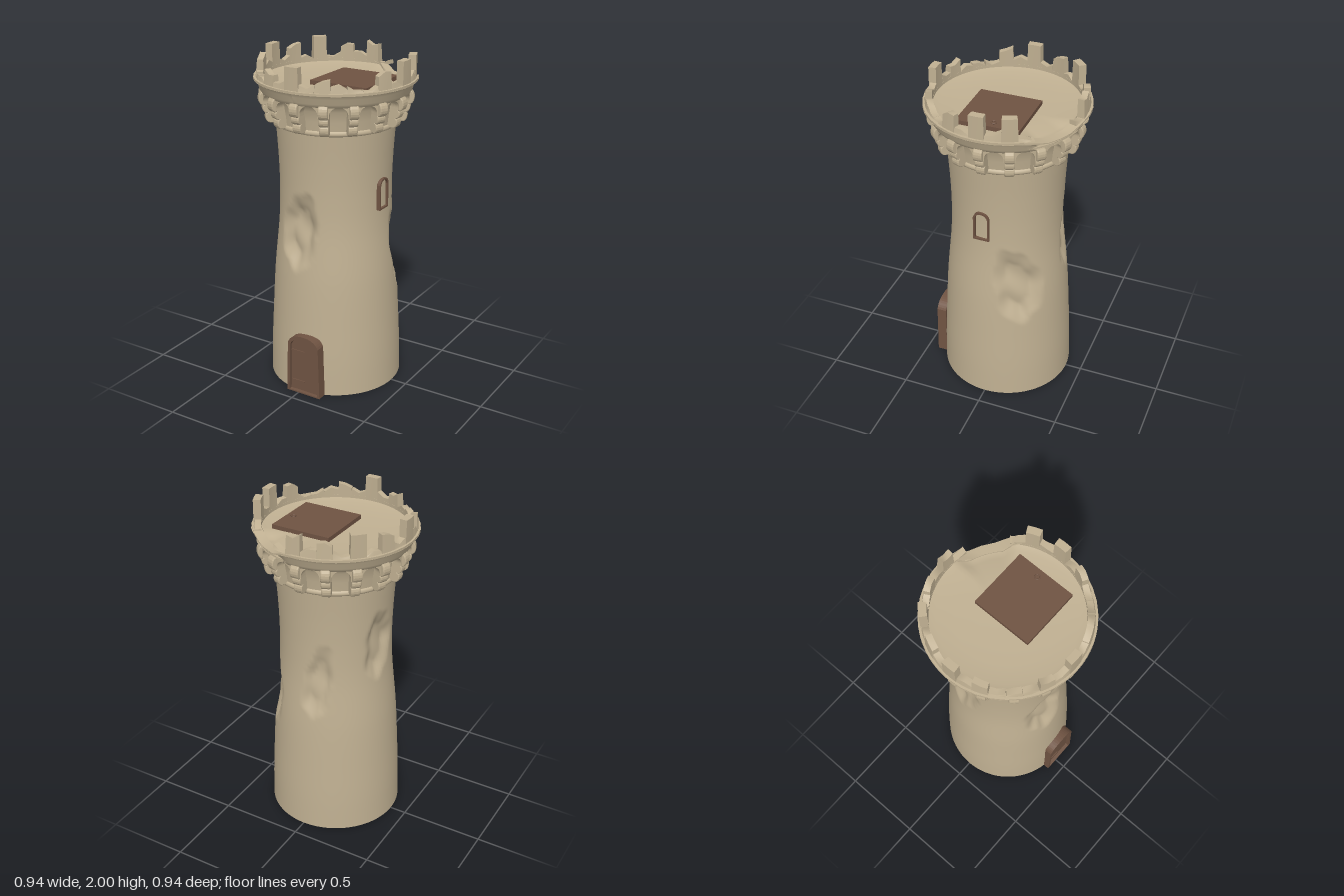
import * as THREE from 'three';
import { mergeVertices } from 'three/addons/utils/BufferGeometryUtils.js';

const DEG = Math.PI / 180;
const V = (x, y) => new THREE.Vector2(x, y);

export function createModel() {
  const tower = new THREE.Group();
  tower.name = 'ruinedTower';
  const stone = new THREE.MeshStandardMaterial({ color: 0xc0b092, side: THREE.DoubleSide });
  stone.name = 'sandstone';
  const wood = new THREE.MeshStandardMaterial({ color: 0x6f5342, side: THREE.DoubleSide });
  wood.name = 'brownWood';

  const add = (name, geometry, material, parent = tower) => {
    const mesh = new THREE.Mesh(geometry, material);
    mesh.name = name;
    parent.add(mesh);
    return mesh;
  };
  const group = (name) => {
    const g = new THREE.Group();
    g.name = name;
    tower.add(g);
    return g;
  };
  // Move every vertex by a rule, then rebuild the normals
  const warp = (g, rule) => {
    const p = g.attributes.position, v = new THREE.Vector3();
    for (let i = 0; i < p.count; i++) {
      rule(v.fromBufferAttribute(p, i));
      p.setXYZ(i, v.x, v.y, v.z);
    }
    g.computeVertexNormals();
    return g;
  };
  // Wrap a flat part round the tower axis: x becomes arc length, z radial offset
  const bend = (g, r) => warp(g, (v) => {
    const a = v.x / r, rad = r + v.z;
    v.set(Math.sin(a) * rad, v.y, Math.cos(a) * rad);
  });
  const weld = (g) => {
    g.deleteAttribute('uv');
    g.deleteAttribute('normal');
    return mergeVertices(g, 1e-5);
  };
  const angleGap = (a, b) => Math.atan2(Math.sin(a - b), Math.cos(a - b));

  // Shaft: a flared tube, open below, with worn hollows
  const hollows = [
    { a: -8, y: 1.0, w: 0.14, h: 0.25, d: 0.05, lean: 0.08 },
    { a: 121, y: 0.81, w: 0.16, h: 0.27, d: 0.045, lean: -0.12 },
    { a: 192, y: 1.01, w: 0.09, h: 0.26, d: 0.035, lean: 0.15 },
    { a: 259, y: 1.22, w: 0.12, h: 0.23, d: 0.04, lean: 0.1 },
  ];
  const curve = new THREE.SplineCurve([V(0.4, 0), V(0.395, 0.2), V(0.385, 0.4), V(0.367, 0.7),
    V(0.338, 1.0), V(0.331, 1.2), V(0.336, 1.4), V(0.35, 1.62)]);
  const shaft = warp(weld(new THREE.LatheGeometry(curve.getSpacedPoints(100), 128)), (v) => {
    const a = Math.atan2(v.x, v.z), r = Math.hypot(v.x, v.z);
    let dip = 0;
    for (const q of hollows) {
      const dy = v.y - q.y;
      const dx = angleGap(a, q.a * DEG) * r - q.lean * dy;
      const t = Math.atan2(dy / q.h, dx / q.w);
      const s = Math.hypot(dx / q.w, dy / q.h) / (0.94 + 0.07 * Math.sin(3 * t + q.a) + 0.05 * Math.sin(7 * t));
      if (s < 1) dip += q.d * Math.min(1, (1 - s) * 2.2) * (0.85 + 0.15 * Math.sin(dy * 25 + dx * 18));
    }
    v.x *= (r - dip) / r;
    v.z *= (r - dip) / r;
  });
  add('shaft', shaft, stone);

  // Crown: base ring, recessed wall and flaring cornice, broken away at the back
  const crumble = (v) => {
    const r = Math.hypot(v.x, v.z);
    if (r < 0.3 || v.y < 1.79) return;
    const s = Math.abs(angleGap(Math.atan2(v.x, v.z), 149 * DEG)) / (24 * DEG);
    const b = s < 1 ? Math.min(1, (1 - s) * 2.5) : 0;
    const k = (r - b * 0.028) / r;
    v.set(v.x * k, v.y - b * 0.6 * (v.y - 1.79), v.z * k);
  };
  const lathe = (pts, n = 96) => new THREE.LatheGeometry(pts.map((p) => V(p[0], p[1])), n);
  add('baseRing', lathe([[0.348, 1.595], [0.362, 1.6], [0.368, 1.612], [0.362, 1.625], [0.35, 1.63]]), stone);
  add('recessWall', lathe([[0.354, 1.61], [0.362, 1.68], [0.372, 1.74], [0.395, 1.78], [0.44, 1.8]]), stone);
  add('cornice', warp(lathe([[0.41, 1.775], [0.428, 1.78], [0.44, 1.8], [0.447, 1.83], [0.459, 1.85]]), crumble), stone);
  add('ledge', warp(lathe([[0.459, 1.85], [0.472, 1.853]]), crumble), stone);
  add('ledgeEdge', warp(lathe([[0.472, 1.853], [0.472, 1.866]], 36), crumble), stone);
  add('ledgeTop', warp(lathe([[0.472, 1.866], [0.416, 1.868]], 36), crumble), stone);
  add('innerWall', warp(lathe([[0.416, 1.868], [0.416, 1.825]]), crumble), stone);
  add('roofFloor', warp(weld(lathe([[0.418, 1.85], [0.38, 1.84], [0.28, 1.831], [0.15, 1.828], [0, 1.827]])), crumble), stone);

  // Arches and scrolled brackets, sixteen of each
  const R = 0.4, half = Math.PI * R / 16, open = half * 0.62;
  const arch = new THREE.Shape();
  arch.moveTo(-half, 1.72);
  arch.lineTo(-open, 1.72);
  arch.absarc(0, 1.735, open, Math.PI, 0, true);
  arch.lineTo(open, 1.72);
  arch.lineTo(half, 1.72);
  for (let i = 2; i >= -2; i--) arch.lineTo(half * i / 2, 1.8);
  const archGeo = bend(new THREE.ExtrudeGeometry(arch, { depth: 0.05, bevelEnabled: false, curveSegments: 12 })
    .translate(0, 0, -0.022), R);

  const side = new THREE.Shape();
  side.moveTo(0.345, 1.615);
  side.lineTo(0.385, 1.615);
  side.bezierCurveTo(0.416, 1.615, 0.416, 1.665, 0.394, 1.672);
  side.bezierCurveTo(0.43, 1.665, 0.432, 1.71, 0.415, 1.718);
  side.bezierCurveTo(0.452, 1.71, 0.455, 1.765, 0.436, 1.785);
  side.lineTo(0.345, 1.785);
  const bracketGeo = new THREE.ExtrudeGeometry(side, {
    depth: 0.036, bevelEnabled: true, bevelSize: 0.005, bevelThickness: 0.008, bevelSegments: 2, curveSegments: 7,
  }).translate(0, 0, -0.018).rotateY(-Math.PI / 2);

  const arches = group('arches'), brackets = group('brackets');
  for (let i = 0; i < 16; i++) {
    const a = i * 22.5 * DEG;
    add('arch', archGeo, stone, arches).rotation.y = a + 11.25 * DEG;
    add('bracket', bracketGeo, stone, brackets).rotation.y = a;
  }

  // Battlements: worn merlons with low walls between, absent where the rim has fallen
  const tops = [1.995, 1.94, 1.9, 1.97, 2, 2, 0, 0, 1.985, 1.96, 2, 1.975, 2, 1.97, 1.9, 1.95];
  const battlements = group('battlements');
  const segment = 2 * Math.PI * 0.438 / 32;
  for (let i = 0; i < 32; i++) {
    if (i >= 12 && i <= 14) continue;
    const merlon = i % 2 === 0;
    let top = merlon ? tops[i / 2] : 1.905 + 0.012 * Math.sin(i * 2.3);
    if (i === 11 || i === 15) top = 1.885;
    const worn = top < 1.99 ? 0.03 : 0;
    const geo = warp(new THREE.BoxGeometry(segment, 1, 0.044, 2, 1, 1), (v) => {
      const upper = v.y > 0;
      v.y = upper ? top - worn * (0.5 + 0.5 * Math.sin(i * 1.7 + v.x * 45)) : 1.86;
      if (upper && worn && v.z > 0) v.z -= 0.008;
      if (upper && merlon) v.x *= 0.93;
    });
    add(merlon ? 'merlon' : 'lowWall', bend(geo, 0.438), stone, battlements).rotation.y = i * 11.25 * DEG;
  }

  // Round-headed outline, drawn as a shape or a hole
  const archOutline = (Type, w, shoulder, top, y0, flare = 0) => {
    const s = new Type();
    s.moveTo(-w - flare, y0);
    s.lineTo(w + flare, y0);
    s.lineTo(w, shoulder);
    s.bezierCurveTo(w * 0.85, top - (top - shoulder) * 0.3, w * 0.5, top, 0, top);
    s.bezierCurveTo(-w * 0.5, top, -w * 0.85, top - (top - shoulder) * 0.3, -w, shoulder);
    s.closePath();
    return s;
  };
  const frame = (outer, inner, depth) => {
    outer.holes.push(inner);
    return new THREE.ExtrudeGeometry(outer, { depth, bevelEnabled: false, curveSegments: 8 });
  };

  // Door in its frame, with two strap hinges
  const door = group('door');
  door.position.set(0.035, 0, 0);
  add('doorFrame', frame(archOutline(THREE.Shape, 0.105, 0.325, 0.38, 0, 0.01),
    archOutline(THREE.Path, 0.089, 0.312, 0.36, 0.008, 0.009), 0.06).translate(0, 0, 0.37), wood, door);
  add('doorPanel', new THREE.ShapeGeometry(archOutline(THREE.Shape, 0.092, 0.315, 0.363, 0.005, 0.009))
    .translate(0, 0, 0.408), wood, door);
  for (const y of [0.07, 0.27]) {
    add('strapHinge', new THREE.BoxGeometry(0.09, 0.008, 0.006).translate(-0.045, y, 0.41), wood, door);
  }

  // Small window frame on the left wall
  const win = add('windowFrame', frame(archOutline(THREE.Shape, 0.048, 1.275, 1.312, 1.125),
    archOutline(THREE.Path, 0.038, 1.268, 1.3, 1.135), 0.03), wood);
  win.rotation.y = Math.PI / 2;
  win.position.set(0.315, 0, 0.03);

  // Trapdoor with a ring pull
  const hatch = group('trapdoor');
  add('hatchBoard', new THREE.BoxGeometry(0.365, 0.025, 0.365).translate(0.125, 1.85, 0.002), wood, hatch);
  add('ringPull', new THREE.TorusGeometry(0.014, 0.004, 8, 20).rotateX(Math.PI / 2)
    .translate(0.263, 1.865, -0.022), wood, hatch);

  return tower;
}
